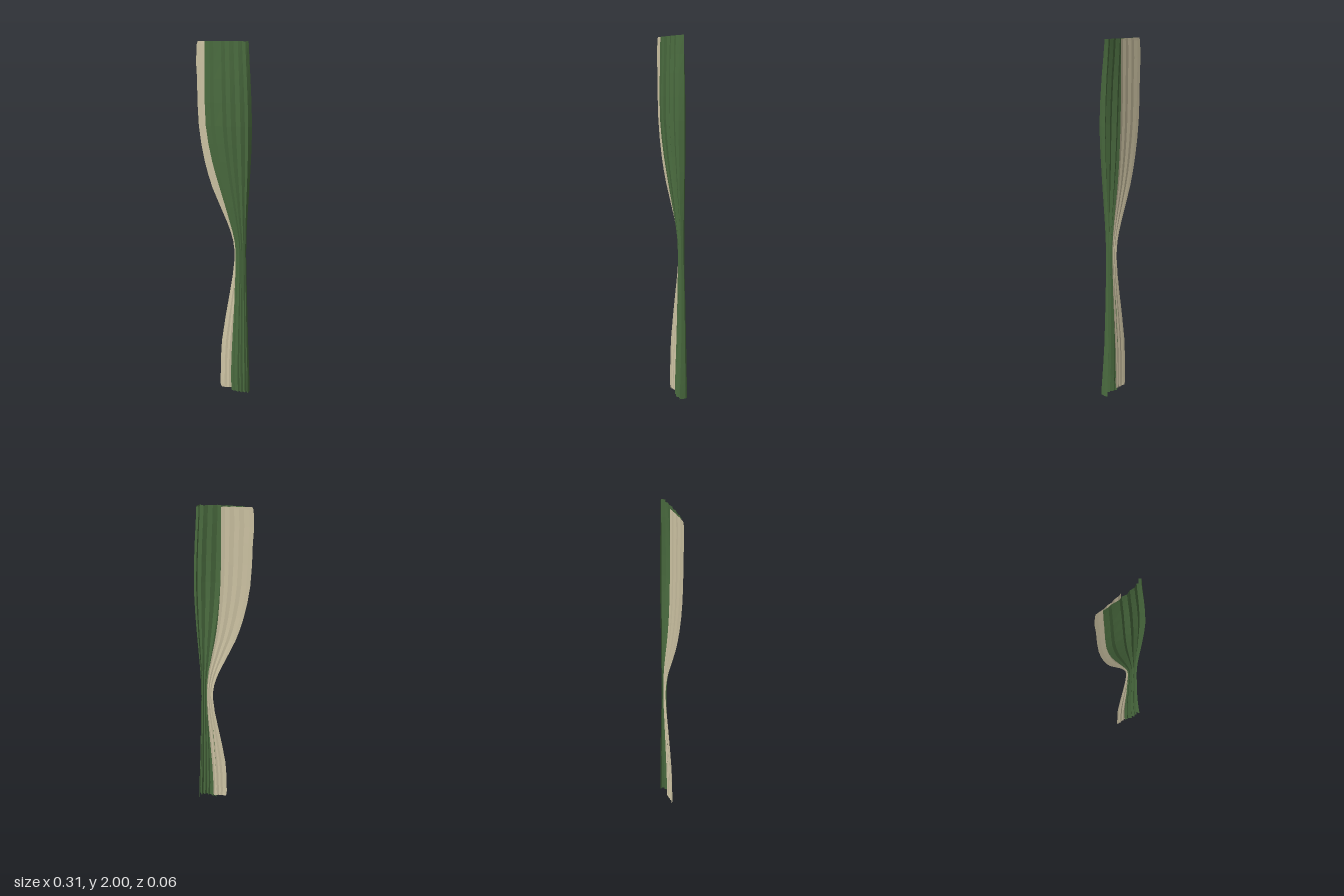
import * as THREE from 'three';

// Gathered cloth: each row is [y, left x, right x, middle z, fold depth];
// each fold is [position across 0..1, relative depth -1..1].
function cloth(name, color, rows, folds, steps) {
  const key = (i) => rows[Math.max(0, Math.min(rows.length - 1, i))];
  const pos = [], index = [], cols = folds.length;
  let count = 0;
  for (let r = 0; r < rows.length; r++) {
    const n = r === rows.length - 1 ? 1 : steps;
    for (let k = 0; k < n; k++) {
      const t = k / n;
      // smooth blend between neighbouring rows
      const [y, x0, x1, z, amp] = key(r).map((b, j) => {
        const a = key(r - 1)[j], c = key(r + 1)[j], d = key(r + 2)[j];
        if (j === 0) return b + (c - b) * t;
        const h0 = key(r)[0] - key(r - 1)[0] || 1, h1 = key(r + 1)[0] - key(r)[0] || 1;
        const h2 = key(r + 2)[0] - key(r + 1)[0] || 1;
        const m0 = 0.5 * ((b - a) / h0 + (c - b) / h1) * h1;
        const m1 = 0.5 * ((c - b) / h1 + (d - c) / h2) * h1;
        const t2 = t * t, t3 = t2 * t;
        return (2 * t3 - 3 * t2 + 1) * b + (t3 - 2 * t2 + t) * m0 + (3 * t2 - 2 * t3) * c + (t3 - t2) * m1;
      });
      for (const [s, d] of folds) pos.push(x0 + (x1 - x0) * s, y, z + amp * d);
      count++;
    }
  }
  for (let r = 0; r < count - 1; r++) {
    for (let c = 0; c < cols - 1; c++) {
      const a = r * cols + c, b = a + cols;
      index.push(a, b, a + 1, b, b + 1, a + 1); // rows run downward
    }
  }
  const geo = new THREE.BufferGeometry();
  geo.setAttribute('position', new THREE.Float32BufferAttribute(pos, 3));
  geo.setIndex(index);
  geo.computeVertexNormals();
  const mesh = new THREE.Mesh(geo, new THREE.MeshStandardMaterial({
    color, flatShading: true, side: THREE.DoubleSide,
  }));
  mesh.name = name;
  return mesh;
}

export function createModel() {
  const group = new THREE.Group();
  group.name = 'curtain';

  // Pleated outer curtain, pinched at tie height, turned back at its right edge
  group.add(cloth('outerCurtain', 0x4a6b3f, [
    [2.00, -0.110, 0.126, -0.003, 0.012],
    [1.80, -0.110, 0.138, 0.004, 0.018],
    [1.55, -0.105, 0.148, 0.008, 0.022],
    [1.35, -0.070, 0.143, 0.004, 0.019],
    [1.20, -0.028, 0.135, 0.000, 0.016],
    [1.00, 0.030, 0.123, -0.007, 0.013],
    [0.90, 0.054, 0.120, -0.009, 0.011],
    [0.80, 0.060, 0.120, -0.010, 0.010],
    [0.60, 0.054, 0.125, -0.011, 0.012],
    [0.30, 0.041, 0.134, -0.010, 0.016],
    [0.10, 0.035, 0.142, -0.005, 0.021],
    [0.00, 0.038, 0.145, -0.002, 0.024],
  ], [
    [0, -0.5], [0.12, -0.05], [0.2, -0.15], [0.38, 0.5], [0.46, 0.1], [0.56, 0.8],
    [0.66, 0.3], [0.76, 0.7], [0.85, 0.05], [0.93, 1], [1, -0.35], [0.95, -1],
  ], 2));

  // Pale lining behind it, with softened corners
  group.add(cloth('lining', 0xcfc5a5, [
    [2.00, -0.147, 0.005, -0.014, 0.003],
    [1.985, -0.153, 0.005, -0.014, 0.003],
    [1.80, -0.153, 0.005, -0.014, 0.003],
    [1.55, -0.145, 0.010, -0.014, 0.003],
    [1.35, -0.113, 0.022, -0.015, 0.003],
    [1.20, -0.070, 0.040, -0.017, 0.003],
    [1.00, 0.014, 0.075, -0.020, 0.003],
    [0.90, 0.045, 0.085, -0.020, 0.003],
    [0.80, 0.053, 0.088, -0.021, 0.003],
    [0.60, 0.027, 0.080, -0.019, 0.003],
    [0.30, -0.019, 0.062, -0.017, 0.004],
    [0.10, -0.026, 0.055, -0.016, 0.004],
    [0.03, -0.026, 0.055, -0.016, 0.004],
    [0.015, -0.020, 0.050, -0.016, 0.004],
  ], [
    [0, -0.9], [0.14, -0.5], [0.3, 0.5], [0.45, -0.2], [0.6, 0.8], [0.75, -0.2], [0.88, 0.4], [1, -0.5],
  ], 2));

  return group;
}
